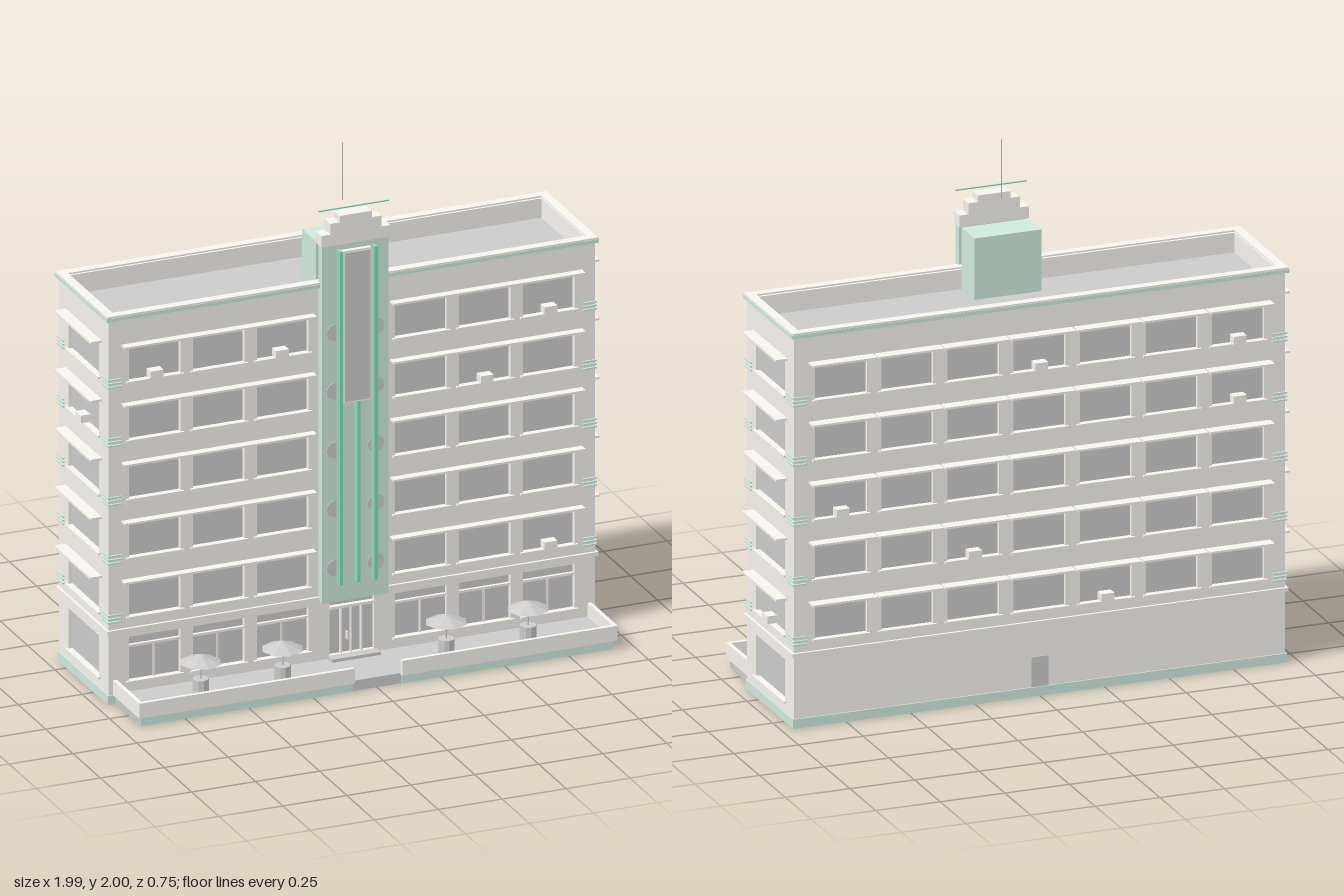
import * as THREE from 'three';

const mat = (color) => new THREE.MeshStandardMaterial({ color, flatShading: true });
const GREY = mat(0xcccccc), CREAM = mat(0xf6f4ee), MINT = mat(0xcfeade), FIN = mat(0x86dcb8);

const DEPTH = 0.455, WIDTH = 1.9, MID_Z = -0.1025, WALL = 0.025;
const FLOORS = [0.33, 0.56, 0.788, 1.017, 1.245]; // sill heights
const WIN_H = 0.13;

function add(parent, name, geometry, material, x = 0, y = 0, z = 0) {
  const mesh = new THREE.Mesh(geometry, material);
  mesh.name = name;
  mesh.position.set(x, y, z);
  parent.add(mesh);
  return mesh;
}

// Box given by its ranges along x, y and z
function block(parent, name, material, [x0, x1], [y0, y1], [z0, z1]) {
  return add(parent, name, new THREE.BoxGeometry(x1 - x0, y1 - y0, z1 - z0), material,
    (x0 + x1) / 2, (y0 + y1) / 2, (z0 + z1) / 2);
}

function rect(path, x0, y0, x1, y1) {
  path.moveTo(x0, y0);
  path.lineTo(x1, y0);
  path.lineTo(x1, y1);
  path.lineTo(x0, y1);
  path.closePath();
  return path;
}

// Rectangular ring around the building, hollow inside
function ring(parent, name, material, y0, y1, out, inset) {
  const w = WIDTH / 2, d = DEPTH / 2;
  const shape = rect(new THREE.Shape(), -w - out, -d - out, w + out, d + out);
  shape.holes.push(rect(new THREE.Path(), -w + inset, -d + inset, w - inset, d - inset));
  const geometry = new THREE.ExtrudeGeometry(shape, { depth: y1 - y0, bevelEnabled: false });
  geometry.rotateX(-Math.PI / 2);
  add(parent, name, geometry, material, 0, y0, 0);
}

// One outer wall with openings, glass, sills, canopies and cooling units
function facade(parent, name, o) {
  const g = new THREE.Group();
  g.name = name;
  g.rotation.y = o.angle;
  g.position.set(Math.sin(o.angle) * o.distance, 0, Math.cos(o.angle) * o.distance);
  parent.add(g);

  const openings = [...(o.ground || [])];
  for (const y of FLOORS) for (const x of o.windows) {
    openings.push([x - o.winW / 2, y, x + o.winW / 2, y + WIN_H]);
  }
  const shape = rect(new THREE.Shape(), -o.width / 2, 0, o.width / 2, 1.5);
  for (const r of openings) shape.holes.push(rect(new THREE.Path(), ...r));
  const geometry = new THREE.ExtrudeGeometry(shape, { depth: WALL, bevelEnabled: false });
  add(g, 'wall', geometry, CREAM, 0, 0, -WALL);

  for (const [x0, y0, x1, y1] of openings) {
    block(g, 'glass', GREY, [x0, x1], [y0, y1], [-0.02, -0.015]);
    if (y0 > 0.06) block(g, 'sill', CREAM, [x0 - 0.012, x1 + 0.012], [y0 - 0.008, y0], [-0.015, 0.01]);
  }
  for (const y of FLOORS) for (const [x0, x1] of o.canopies) {
    block(g, 'canopy', CREAM, [x0, x1], [y + 0.138, y + 0.146], [-0.005, o.reach]);
  }
  for (const [x, floor] of o.coolers) {
    const y = FLOORS[floor];
    block(g, 'coolingUnit', CREAM, [x - 0.025, x + 0.025], [y + 0.003, y + 0.032], [-0.015, 0.022]);
  }
  return g;
}

function buildBody(model) {
  const body = new THREE.Group();
  body.name = 'mainBuilding';
  body.position.z = MID_Z;
  model.add(body);

  const half = [0.27, 0.52, 0.77];
  const frontX = [...half.map((x) => -x), ...half];
  const shops = frontX.map((x) => [x - 0.1, 0.08, x + 0.1, 0.25]);
  const front = facade(body, 'frontFacade', {
    angle: 0, distance: DEPTH / 2, width: WIDTH, windows: frontX, winW: 0.2,
    ground: [...shops, [-0.087, 0.05, 0.087, 0.265]],
    canopies: [[-0.9, -0.15], [0.15, 0.9]], reach: 0.033,
    coolers: [[-0.77, 4], [-0.28, 4], [0.77, 4], [0.52, 3], [0.77, 0]],
  });
  // Shop window transoms and mullions
  for (const x of frontX) {
    block(front, 'transom', CREAM, [x - 0.1, x + 0.1], [0.208, 0.217], [-0.015, -0.003]);
    block(front, 'mullion', CREAM, [x - 0.003, x + 0.003], [0.08, 0.208], [-0.015, -0.007]);
  }
  // Entrance doors
  block(front, 'doorLintel', CREAM, [-0.087, 0.087], [0.228, 0.238], [-0.015, 0.004]);
  for (const x of [-0.04, 0, 0.04]) {
    block(front, 'doorPost', CREAM, [x - 0.003, x + 0.003], [0.05, 0.228], [-0.015, -0.004]);
  }
  block(front, 'doorHandle', CREAM, [-0.018, -0.012], [0.1, 0.13], [-0.015, -0.002]);

  const backX = [-3, -2, -1, 0, 1, 2, 3].map((i) => i * 0.256);
  const back = facade(body, 'backFacade', {
    angle: Math.PI, distance: DEPTH / 2, width: WIDTH, windows: backX, winW: 0.2,
    canopies: backX.map((x) => [x - 0.125, x + 0.125]), reach: 0.045,
    coolers: [[0, 4], [0.768, 4], [0.768, 3], [-0.768, 2], [-0.256, 1], [0.256, 0]],
  });
  block(back, 'backDoor', GREY, [-0.033, 0.033], [0.036, 0.15], [-0.01, 0.004]);

  for (const side of [1, -1]) {
    facade(body, side > 0 ? 'leftFacade' : 'rightFacade', {
      angle: side * Math.PI / 2, distance: WIDTH / 2, width: DEPTH - 0.002, windows: [0], winW: 0.28,
      ground: [[-0.14, 0.078, 0.14, 0.235]], canopies: [[-0.165, 0.165]], reach: 0.045,
      coolers: side > 0 ? [[0, 0]] : [[0, 3]],
    });
  }

  // Roof deck, ground floor ceiling and bands around the building
  const inX = [-0.93, 0.93], inZ = [-0.21, 0.21];
  block(body, 'roofDeck', GREY, inX, [1.41, 1.425], inZ);
  block(body, 'groundFloorCeiling', GREY, inX, [0.275, 0.285], inZ);
  ring(body, 'basePlinth', MINT, 0, 0.035, 0.005, 0.01);
  ring(body, 'stringCourse', CREAM, 0.272, 0.287, 0.01, 0.01);
  ring(body, 'corniceBand', MINT, 1.49, 1.504, 0.012, 0.01);
  ring(body, 'parapetCap', CREAM, 1.504, 1.51, 0.01, 0.025);

  // Triple stripes wrapping each corner
  for (const y of FLOORS) for (const sx of [-1, 1]) for (const sz of [-1, 1]) for (const dy of [-0.014, 0, 0.014]) {
    add(body, 'cornerStripe', new THREE.BoxGeometry(0.055, 0.006, 0.055), MINT,
      sx * (WIDTH / 2 - 0.021), y + dy, sz * (DEPTH / 2 - 0.021));
  }
}

function buildTower(model) {
  const tower = new THREE.Group();
  tower.name = 'tower';
  model.add(tower);
  block(tower, 'towerSlab', MINT, [-0.13, 0.13], [0.27, 1.66], [0.127, 0.158]);
  block(tower, 'roofHouse', MINT, [-0.13, 0.13], [1.42, 1.66], [-0.025, 0.1]);
  // Stepped crown
  for (const [w, y0, y1] of [[0.135, 1.658, 1.703], [0.1, 1.703, 1.745], [0.063, 1.745, 1.77]]) {
    block(tower, 'crownStep', CREAM, [-w, w], [y0, y1], [0.11, 0.163]);
  }
  // Vertical fins and sign board
  for (const x of [-0.068, 0, 0.068]) {
    block(tower, 'fin', FIN, [x - 0.006, x + 0.006], [0.345, x === 0 ? 1.05 : 1.64], [0.158, 0.19]);
  }
  block(tower, 'signFrame', CREAM, [-0.056, 0.056], [1.043, 1.635], [0.158, 0.176]);
  block(tower, 'signBoard', GREY, [-0.05, 0.05], [1.05, 1.628], [0.17, 0.18]);
  // Round windows
  const disc = new THREE.CylinderGeometry(0.032, 0.032, 0.006, 24).rotateX(Math.PI / 2);
  for (const y of FLOORS) for (const x of [-0.08, 0.08]) add(tower, 'roundWindow', disc, GREY, x, y + 0.073, 0.158);
  // Mast and crossbar
  add(tower, 'mast', new THREE.CylinderGeometry(0.002, 0.002, 0.225, 6), GREY, 0, 1.8875, 0.04);
  block(tower, 'crossbar', FIN, [-0.138, 0.138], [1.788, 1.792], [0.138, 0.142]);
}

function buildTerrace(model) {
  const terrace = new THREE.Group();
  terrace.name = 'terrace';
  model.add(terrace);
  block(terrace, 'terraceFloor', GREY, [-0.925, 0.925], [0, 0.04], [0.13, 0.355]);
  block(terrace, 'entranceStep', GREY, [-0.095, 0.095], [0.04, 0.052], [0.13, 0.17]);
  for (const s of [-1, 1]) {
    const span = (a, b) => (s > 0 ? [a, b] : [-b, -a]);
    block(terrace, 'terraceFrontWall', CREAM, span(0.093, 0.935), [0.035, 0.093], [0.355, 0.37]);
    block(terrace, 'terraceEndWall', CREAM, span(0.92, 0.935), [0.035, 0.093], [0.13, 0.355]);
    block(terrace, 'terracePlinth', MINT, span(0.097, 0.925), [0, 0.035], [0.353, 0.357]);
  }
  // Tables with parasols
  const canopy = new THREE.ConeGeometry(0.078, 0.032, 8);
  const pole = new THREE.CylinderGeometry(0.003, 0.003, 0.12, 6);
  const table = new THREE.CylinderGeometry(0.03, 0.03, 0.055, 10);
  for (const x of [-0.64, -0.32, 0.32, 0.64]) {
    const set = new THREE.Group();
    set.name = 'parasolTable';
    set.position.set(x, 0.04, 0.24);
    terrace.add(set);
    add(set, 'parasol', canopy, GREY, 0, 0.134, 0);
    add(set, 'pole', pole, GREY, 0, 0.06, 0);
    add(set, 'table', table, GREY, 0, 0.0275, 0);
  }
}

export function createModel() {
  const model = new THREE.Group();
  model.name = 'hotelBuilding';
  buildBody(model);
  buildTower(model);
  buildTerrace(model);
  return model;
}
